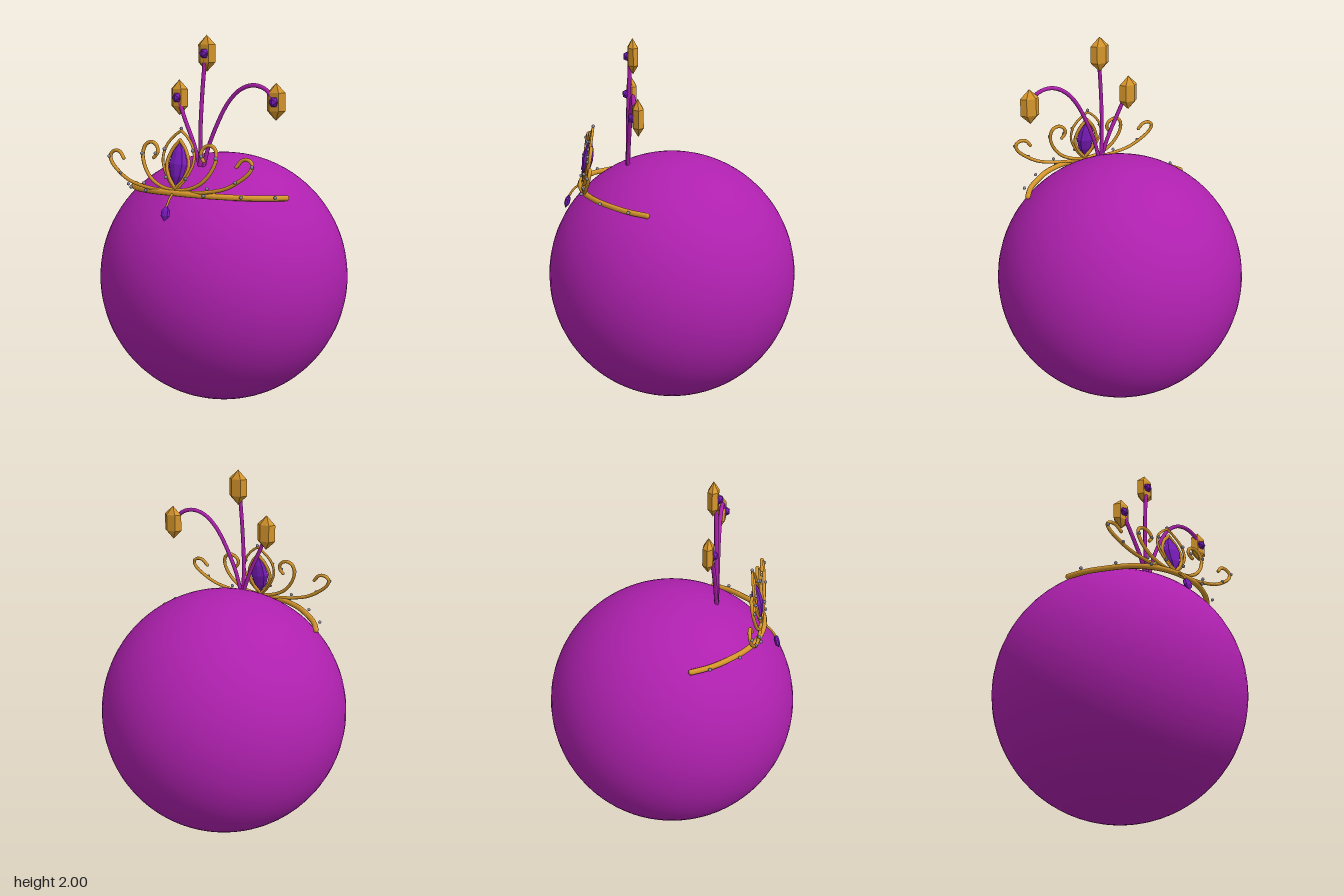
import * as THREE from 'three';

const mat = (name, color) => {
  const m = new THREE.MeshStandardMaterial({ color });
  m.name = name;
  return m;
};

export function createModel() {
  const model = new THREE.Group();
  const purple = mat('magenta purple', 0xae20ae);
  const gold = mat('gold', 0xd6962c);
  const violet = mat('violet gem', 0x7a1cbc);
  const silver = mat('silver bead', 0x8c8ca0);

  const add = (parent, name, geometry, material, pos = [0, 0, 0]) => {
    const mesh = new THREE.Mesh(geometry, material);
    mesh.name = name;
    mesh.position.set(...pos);
    parent.add(mesh);
    return mesh;
  };

  // Smooth tube through points, with rounded ends
  const wire = (parent, name, points, radius, material, segments = 40) => {
    const pts = points.map((p) => new THREE.Vector3(...p));
    const curve = new THREE.CatmullRomCurve3(pts);
    add(parent, name, new THREE.TubeGeometry(curve, segments, radius, 8), material);
    for (const i of [0, pts.length - 1]) {
      add(parent, name + 'End', new THREE.SphereGeometry(radius, 8, 6), material, points[i]);
    }
  };

  // Flat-faceted lathe, squashed in depth, with corners at left and right
  const faceted = (profile, sides, depth) => {
    const pts = profile.map(([r, y]) => new THREE.Vector2(r, y));
    const g = new THREE.LatheGeometry(pts, sides, Math.PI / 2).scale(1, 1, depth).toNonIndexed();
    g.computeVertexNormals();
    return g;
  };

  // Body
  add(model, 'body', new THREE.SphereGeometry(0.685, 64, 48), purple, [0, 0.685, 0]);

  // Stalks, each carrying a crystal with a small gem on its front
  const stalks = [
    ['rightStalk', [[0, 1.31, 0.24], [-0.045, 1.44, 0.235], [-0.1, 1.56, 0.23], [-0.15, 1.675, 0.22]]],
    ['middleStalk', [[0, 1.31, 0.24], [-0.003, 1.5, 0.235], [0.005, 1.7, 0.228], [0.02, 1.905, 0.22]]],
    ['leftStalk', [[0.015, 1.31, 0.24], [0.055, 1.45, 0.235], [0.16, 1.66, 0.226], [0.235, 1.73, 0.224],
      [0.305, 1.75, 0.222], [0.375, 1.73, 0.222], [0.425, 1.67, 0.222]]],
  ];
  const crystal = faceted([[0, -0.094], [0.052, -0.045], [0.052, 0.045], [0, 0.094]], 6, 0.58);
  for (const [name, path] of stalks) {
    const group = new THREE.Group();
    group.name = name;
    wire(group, 'stem', path, 0.011, purple);
    const [x, y] = path[path.length - 1];
    add(group, 'crystal', crystal, gold, [x, y, 0.206]);
    const stud = new THREE.IcosahedronGeometry(0.028, 0);
    add(group, 'crystalGem', stud, violet, [x, y, 0.23]);
    model.add(group);
  }

  // Tiara: scroll work lies on a plane leaning back
  const tiara = new THREE.Group();
  tiara.name = 'tiara';
  model.add(tiara);
  const lean = ([x, y]) => [x, y, 0.482 - (y - 1.22) * 0.2];
  const mirror = (p) => [-p[0], ...p.slice(1)];
  const bead = (p) => add(tiara, 'bead', new THREE.SphereGeometry(0.009, 10, 8), silver, p);

  // Band
  const half = [[0.47, 1.183, 0.17], [0.42, 1.19, 0.26], [0.35, 1.197, 0.34], [0.26, 1.206, 0.42], [0.14, 1.213, 0.478]];
  wire(tiara, 'band', [...half.map(mirror), [0, 1.216, 0.497], ...half.slice().reverse()], 0.015, gold, 64);

  // Mirrored scrolls and beads
  const outer = [[0, 1.222], [0.1, 1.224], [0.2, 1.235], [0.29, 1.258], [0.36, 1.297], [0.415, 1.345],
    [0.427, 1.38], [0.405, 1.402], [0.37, 1.4], [0.34, 1.367]];
  const inner = [[0.01, 1.228], [0.08, 1.24], [0.15, 1.275], [0.2, 1.335], [0.221, 1.4], [0.208, 1.445],
    [0.175, 1.46], [0.14, 1.443], [0.13, 1.41], [0.15, 1.382]];
  const arch = [[0.005, 1.23], [0.055, 1.29], [0.092, 1.37], [0.082, 1.44], [0.04, 1.495], [0, 1.525]];
  const scrollBeads = [[0.43, 1.372], [0.345, 1.293], [0.19, 1.252], [0.222, 1.4], [0.138, 1.405], [0.085, 1.43], [0.06, 1.29]];
  const bandBeads = [[0.455, 1.197, 0.252], [0.335, 1.208, 0.39], [0.175, 1.215, 0.483]];
  for (const side of [(p) => p, mirror]) {
    wire(tiara, 'outerScroll', outer.map(lean).map(side), 0.0095, gold, 60);
    wire(tiara, 'innerScroll', inner.map(lean).map(side), 0.0095, gold, 60);
    wire(tiara, 'centreArch', arch.map(lean).map(side), 0.007, gold);
    for (const p of scrollBeads) {
      const q = side(lean(p));
      bead([q[0], q[1], q[2] + 0.009]);
    }
    for (const p of bandBeads) bead(side(p).map((v, i) => (i === 2 ? v + 0.01 : v)));
  }
  bead(lean([0, 1.535]));

  // Centre jewel in an almond frame
  const rim = [[0, 1.238], [0.04, 1.283], [0.066, 1.355], [0.04, 1.43], [0, 1.478]].map(lean);
  wire(tiara, 'jewelFrame', rim, 0.009, gold);
  wire(tiara, 'jewelFrame', rim.map(mirror), 0.009, gold);
  const jewel = faceted([[0, -0.112], [0.038, -0.062], [0.056, 0], [0.038, 0.062], [0, 0.112]], 8, 0.55);
  add(tiara, 'centreJewel', jewel, violet, lean([0, 1.357])).rotation.x = -0.2;

  // Pendant hanging over the brow
  wire(tiara, 'pendantWire', [[0, 1.215, 0.505], [0, 1.19, 0.535], [0, 1.155, 0.56]], 0.006, gold, 12);
  const drop = faceted([[0, -0.042], [0.026, -0.016], [0.026, 0.014], [0, 0.042]], 8, 0.55);
  add(tiara, 'pendantGem', drop, violet, [0, 1.125, 0.57]).rotation.x = -0.3;

  return model;
}
